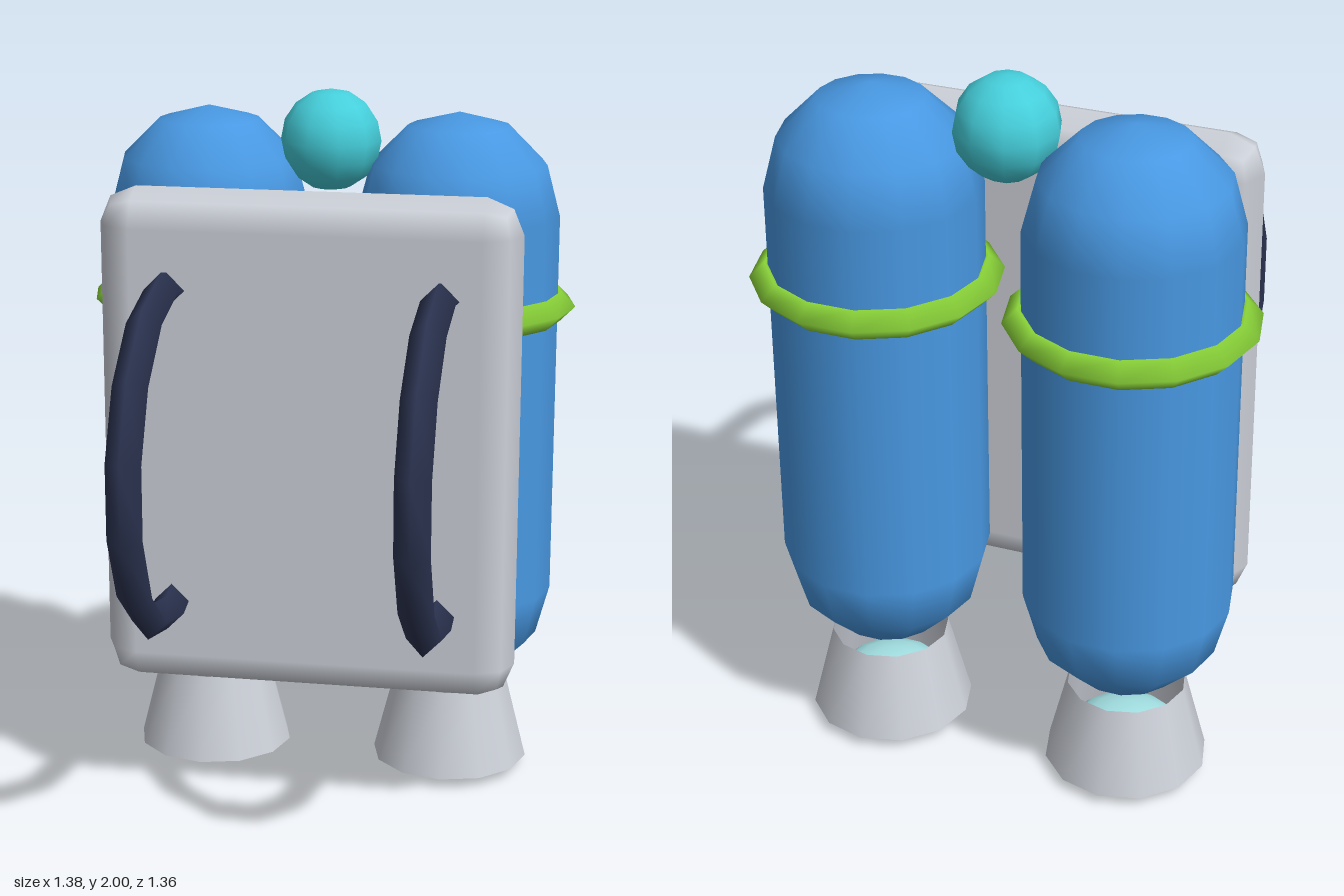
import * as THREE from 'three';
import { RoundedBoxGeometry } from 'three/addons/geometries/RoundedBoxGeometry.js';

const material = (name, color, side = THREE.FrontSide) => {
  const m = new THREE.MeshStandardMaterial({ color, side });
  m.name = name;
  return m;
};

export function createModel() {
  const blue = material('tankBlue', 0x4898e2);
  const grey = material('lightGrey', 0xcdd1d9, THREE.DoubleSide);
  const green = material('bandGreen', 0x8cd63a);
  const navy = material('strapNavy', 0x2b3350);
  const teal = material('knobTeal', 0x45cfdb);
  const glow = material('exhaustGlow', 0xa5e3e6);

  const model = new THREE.Group();
  model.name = 'jetpack';
  const add = (name, geometry, mat, x, y, z) => {
    const mesh = new THREE.Mesh(geometry, mat);
    mesh.name = name;
    mesh.position.set(x, y, z);
    model.add(mesh);
    return mesh;
  };

  // Back plate and the knob between the tanks
  add('backPlate', new RoundedBoxGeometry(1.156, 1.41, 0.205, 1, 0.1), grey, 0, 1.07, 0.022);
  add('topKnob', new THREE.SphereGeometry(0.142, 10, 8), teal, 0, 1.858, -0.315);

  // Shared shapes for the mirrored halves
  const tank = new THREE.CapsuleGeometry(0.285, 1.09, 3, 14);
  const band = new THREE.TorusGeometry(0.293, 0.042, 4, 14).rotateX(Math.PI / 2);
  const nozzle = new THREE.CylinderGeometry(0.164, 0.226, 0.245, 12, 1, true);
  const flame = new THREE.SphereGeometry(0.163, 14, 10).scale(1, 0.5, 1);

  // Strap: an arc bulging forward, its ends sunk in the plate
  const arc = Math.PI * 9 / 7;
  const strap = new THREE.TorusGeometry(0.457, 0.048, 4, 9, arc)
    .rotateZ(-arc / 2)
    .rotateY(-Math.PI / 2);

  for (const [side, s] of [['left', 1], ['right', -1]]) {
    const x = 0.355 * s, z = -0.353;
    add(side + 'Tank', tank, blue, x, 1.11, z);
    add(side + 'Band', band, green, x, 1.4, z);
    add(side + 'Nozzle', nozzle, grey, x, 0.153, z);
    add(side + 'Exhaust', flame, glow, x, 0.083, z);
    add(side + 'Strap', strap, navy, 0.372 * s, 1.07, 0.188);
  }
  return model;
}
